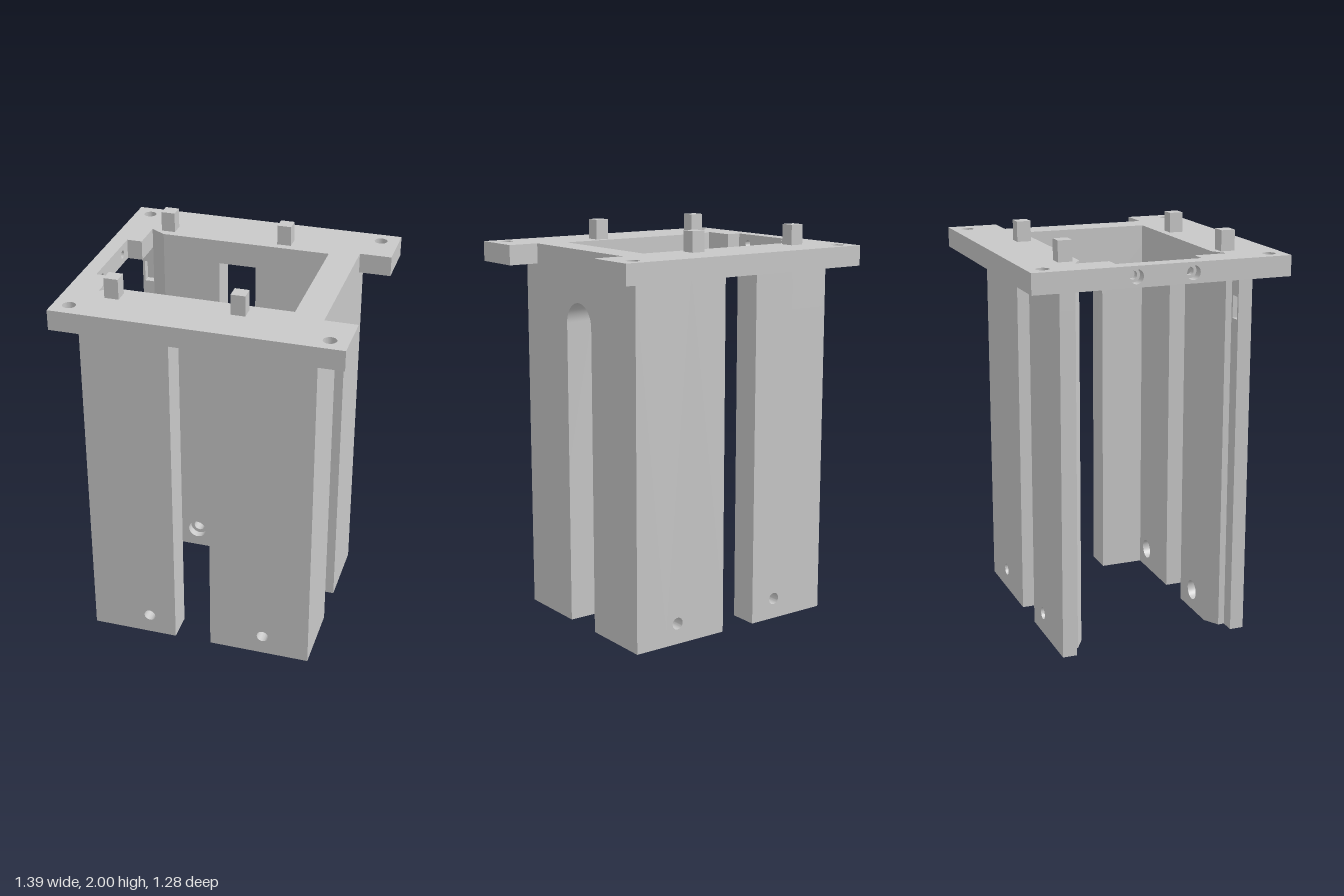
import * as THREE from 'three';
import { toCreasedNormals } from 'three/addons/utils/BufferGeometryUtils.js';

const BASE = 1.8, TOP = 1.9;         // underside and top of the flange
const IN = 0.333, OUT = 0.48;        // inner and outer z of the long walls
const SOCKET = 0.0375, SOCKET_Z = 0.4075, SOCKET_DEPTH = 0.12;

export function createModel() {
  const model = new THREE.Group();
  model.name = 'bracketFrame';
  const grey = new THREE.MeshStandardMaterial({ color: 0xc8c8c8 });
  grey.name = 'light grey';

  const add = (name, geometry) => {
    const mesh = new THREE.Mesh(geometry, grey);
    mesh.name = name;
    model.add(mesh);
  };
  const polygon = (points) => new THREE.Shape(points.map(([a, b]) => new THREE.Vector2(a, b)));
  const rect = (a0, b0, a1, b1) => polygon([[a0, b0], [a1, b0], [a1, b1], [a0, b1]]);
  // Holes run counter-clockwise so that their walls face inwards
  const circle = (a, b, r) => new THREE.Path().absarc(a, b, r, 0, Math.PI * 2, false);
  const extrude = (shape, depth) => toCreasedNormals(
    new THREE.ExtrudeGeometry(shape, { depth, bevelEnabled: false, curveSegments: 16 }), 0.35);

  // Plan shapes are drawn in (x, -z) and raised from y0 to y1
  const raise = (shape, y0, y1) =>
    extrude(shape, y1 - y0).rotateX(-Math.PI / 2).translate(0, y0, 0);
  // Side shapes are drawn in (-z, y) and run from x0 to x1
  const across = (shape, x0, x1) =>
    extrude(shape, x1 - x0).rotateY(Math.PI / 2).translate(x0, 0, 0);
  const box = (x0, x1, y0, y1, z0, z1) =>
    new THREE.BoxGeometry(x1 - x0, y1 - y0, Math.abs(z1 - z0))
      .translate((x0 + x1) / 2, (y0 + y1) / 2, (z0 + z1) / 2);

  // Flange: outline with end notch and stepped opening, plus four bolt holes
  const half = [[0.39, IN], [-0.468, IN], [-0.543, 0.378], [-0.543, 0.213],
    [-0.697, 0.213], [-0.697, 0.638], [0.695, 0.638], [0.695, 0.378], [0.537, 0.378]];
  const mirrored = half.map(([x, z]) => [x, -z]).reverse();
  const flange = polygon([...half, ...mirrored]);
  for (const x of [-0.619, 0.606])
    for (const z of [-0.56, 0.56]) flange.holes.push(circle(x, z, 0.032));
  add('flange', raise(flange, BASE, TOP));

  // Thin end bar with two counterbored cross holes
  for (const [x0, x1, r] of [[-0.697, -0.65, 0.034], [-0.65, -0.62, 0.02]]) {
    const bar = rect(-0.213, BASE, 0.213, TOP);
    for (const z of [-0.14, 0.14]) bar.holes.push(circle(z, 1.85, r));
    add('endBar', across(bar, x0, x1));
  }

  // End wall with a round-topped slot
  const wall = new THREE.Shape();
  wall.moveTo(-IN, 0);
  wall.lineTo(-0.108, 0);
  wall.lineTo(-0.108, 1.534);
  wall.absarc(0, 1.534, 0.108, Math.PI, 0, true);
  wall.lineTo(0.108, 0);
  wall.lineTo(IN, 0);
  wall.lineTo(IN, BASE);
  wall.lineTo(-IN, BASE);
  wall.closePath();
  add('slottedEndWall', across(wall, 0.39, 0.537));

  for (const s of [-1, 1]) {
    const plan = (points) => polygon(points.map(([x, z]) => [x, -s * z]));

    // Column with a square socket in its foot
    const column = (name, points, socketX, top) => {
      const foot = plan(points);
      const z = -s * SOCKET_Z;
      foot.holes.push(rect(socketX - SOCKET, z - SOCKET, socketX + SOCKET, z + SOCKET));
      add(name + 'Foot', raise(foot, 0, SOCKET_DEPTH));
      add(name, raise(plan(points), SOCKET_DEPTH, top));
    };
    const strip = (x0, x1) => [[x0, IN], [x1, IN], [x1, OUT], [x0, OUT]];
    column('innerColumn', strip(0.017, 0.22), 0.13, BASE);
    column('cornerColumn', strip(0.37, 0.537), 0.47, BASE);

    // Free edge column: chamfered and stepped, with a small pocket near the top
    const edge = [[-0.4, IN], [-0.468, IN], [-0.543, 0.378], [-0.543, 0.41]];
    const rest = [[-0.615, 0.41], [-0.615, OUT], [-0.4, OUT]];
    const pocket = [[-0.555, 0.41], [-0.555, 0.45], [-0.603, 0.45], [-0.603, 0.41]];
    column('edgeColumn', [...edge, ...rest], -0.456, 1.59);
    add('edgeColumnPocket', raise(plan([...edge, ...pocket, ...rest]), 1.59, 1.7));
    add('edgeColumnHead', raise(plan([...edge, ...rest]), 1.7, BASE));

    // Panels with a counterbored screw hole
    for (const [x0, x1, hole] of [[-0.4, -0.173, -0.313], [0.22, 0.37, 0.297]]) {
      for (const [z0, z1, r] of [[IN, 0.375, 0.05], [0.375, OUT, 0.03]]) {
        const panel = rect(x0, 0, x1, BASE);
        panel.holes.push(circle(hole, 0.105, r));
        add('screwPanel', extrude(panel, z1 - z0).translate(0, 0, s > 0 ? z0 : -z1));
      }
    }

    // Shallow lintel over the gap between the legs
    add('lintel', box(-0.173, 0.017, 1.777, BASE, s * IN, s * OUT));

    // Locating pegs
    for (const x of [-0.456, 0.152])
      add('peg', box(x - 0.035, x + 0.035, TOP, 2, s * 0.373, s * 0.443));
  }
  return model;
}
